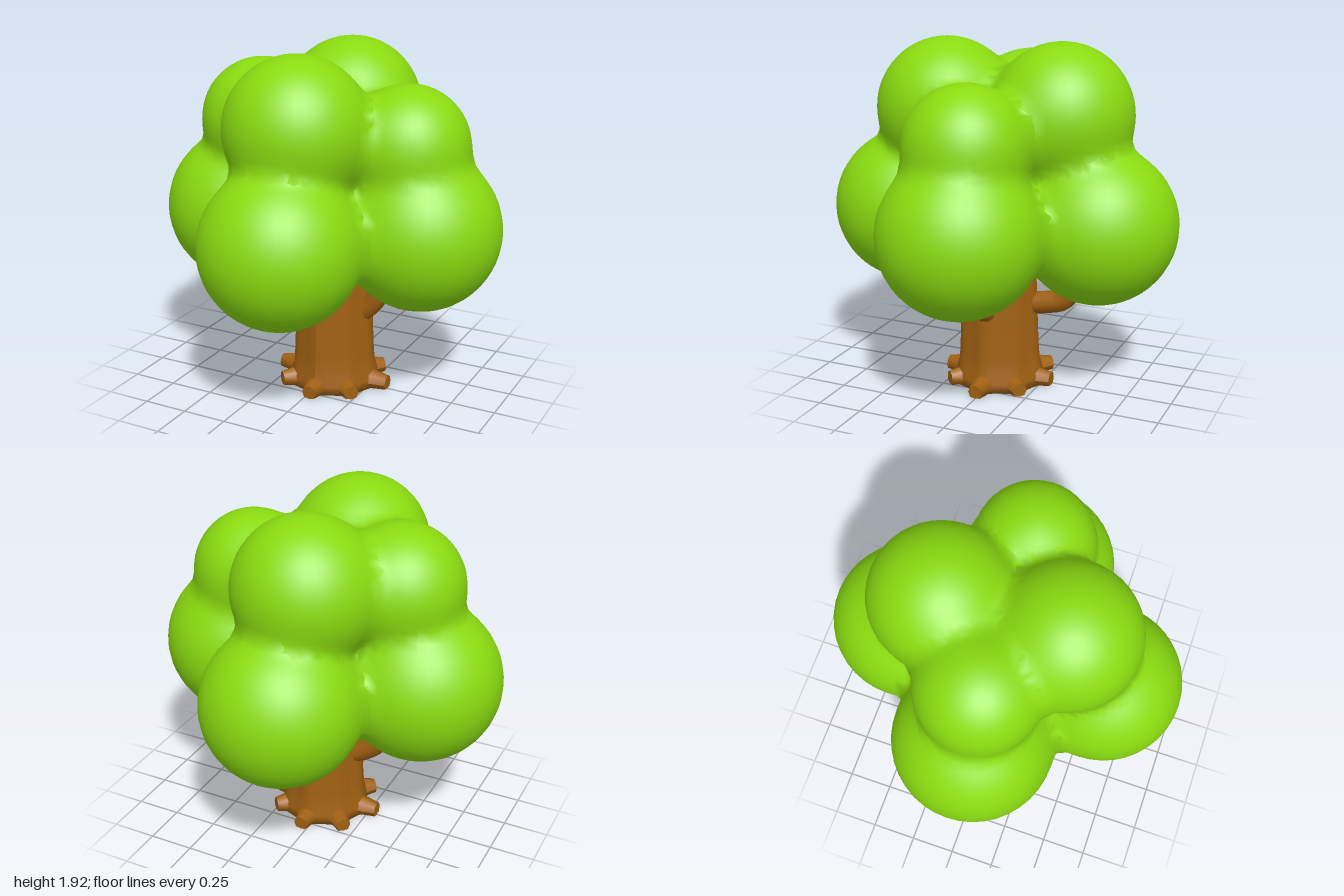
import * as THREE from 'three';

const V = (x, y, z) => new THREE.Vector3(x, y, z);

// foliage lobes: name, centre, radius
const LOBES = [
  ['lowerFrontLobe', V(0, 0.97, 0.56), 0.43],
  ['lowerBackLobe', V(0, 0.97, -0.56), 0.43],
  ['lowerLeftLobe', V(0.54, 0.985, 0), 0.435],
  ['lowerRightLobe', V(-0.54, 0.975, 0), 0.44],
  ['upperFrontLobe', V(-0.02, 1.54, 0.335), 0.388],
  ['upperBackLobe', V(-0.03, 1.54, -0.335), 0.388],
  ['upperLeftLobe', V(0.46, 1.43, 0), 0.33],
  ['upperRightLobe', V(-0.415, 1.495, 0), 0.337],
];
const BLEND = 0.035;

// smooth union of all lobes: distance and direction at a point
function foliageField(p) {
  let sum = 0;
  const normal = V(0, 0, 0);
  for (const [, c, r] of LOBES) {
    const d = p.clone().sub(c);
    const w = Math.exp(-(d.length() - r) / BLEND);
    sum += w;
    normal.addScaledVector(d.normalize(), w);
  }
  return { distance: -BLEND * Math.log(sum), normal: normal.normalize() };
}

// sphere whose surface swells softly where it meets its neighbours
function lobeGeometry(center, radius) {
  const geo = new THREE.SphereGeometry(radius, 40, 28);
  const pos = geo.attributes.position;
  const nor = geo.attributes.normal;
  for (let i = 0; i < pos.count; i++) {
    const dir = V(0, 0, 0).fromBufferAttribute(pos, i).normalize();
    const p = V(0, 0, 0);
    let push = 0;
    for (let s = 0; s < 6; s++) {
      p.copy(center).addScaledVector(dir, radius + push);
      push = THREE.MathUtils.clamp(push - foliageField(p).distance, 0, 0.065);
    }
    p.copy(center).addScaledVector(dir, radius + push);
    const n = foliageField(p).normal;
    pos.setXYZ(i, p.x, p.y, p.z);
    nor.setXYZ(i, n.x, n.y, n.z);
  }
  return geo;
}

// closed lathe trunk with gentle vertical flutes
function trunkGeometry() {
  const profile = [[0, 0.01], [0.25, 0.01], [0.25, 0.06], [0.232, 0.11], [0.225, 0.2],
    [0.217, 0.4], [0.21, 0.6], [0.19, 0.85], [0.12, 1.15], [0, 1.2]];
  const geo = new THREE.LatheGeometry(profile.map(([x, y]) => new THREE.Vector2(x, y)), 40);
  const pos = geo.attributes.position;
  for (let i = 0; i < pos.count; i++) {
    const a = Math.atan2(pos.getZ(i), pos.getX(i));
    const k = 1 + 0.035 * Math.cos(8 * a);
    pos.setX(i, pos.getX(i) * k);
    pos.setZ(i, pos.getZ(i) * k);
  }
  geo.computeVertexNormals();
  return geo;
}

// stubby root lying on the ground, pointing along +x
function rootGeometry(reach) {
  const geo = new THREE.CylinderGeometry(0.042, 0.085, reach - 0.12, 8, 2);
  geo.rotateZ(-Math.PI / 2);
  geo.translate((reach + 0.12) / 2, 0.045, 0);
  const pos = geo.attributes.position;
  for (let i = 0; i < pos.count; i++) pos.setY(i, Math.max(pos.getY(i), 0.01));
  geo.computeVertexNormals();
  return geo;
}

export function createModel() {
  const leaf = new THREE.MeshStandardMaterial({ color: 0x8adb10 });
  leaf.name = 'leafGreen';
  const bark = new THREE.MeshStandardMaterial({ color: 0xa06012 });
  bark.name = 'barkBrown';

  const model = new THREE.Group();
  model.name = 'tree';
  const add = (parent, name, geo, mat) => {
    const mesh = new THREE.Mesh(geo, mat);
    mesh.name = name;
    parent.add(mesh);
    return mesh;
  };

  // crown
  const crown = new THREE.Group();
  crown.name = 'crown';
  model.add(crown);
  for (const [name, c, r] of LOBES) add(crown, name, lobeGeometry(c, r), leaf);

  // trunk with roots
  const base = new THREE.Group();
  base.name = 'trunkAndRoots';
  base.position.x = 0.03;
  model.add(base);
  add(base, 'trunk', trunkGeometry(), bark);
  const reaches = [0.335, 0.3, 0.315, 0.32, 0.335, 0.31, 0.315, 0.3];
  reaches.forEach((reach, i) => {
    const root = add(base, 'root', rootGeometry(reach), bark);
    root.rotation.y = (i / reaches.length) * Math.PI * 2;
  });

  // branches reaching up into the lower lobes
  const branches = [
    ['rightBranch', [V(-0.08, 0.38, 0), V(-0.22, 0.44, 0), V(-0.32, 0.53, 0), V(-0.42, 0.72, 0)]],
    ['leftBranch', [V(0.16, 0.42, 0), V(0.26, 0.51, 0), V(0.31, 0.6, 0), V(0.38, 0.75, 0)]],
    ['frontBranch', [V(0.01, 0.47, 0.1), V(0.01, 0.495, 0.28), V(0.01, 0.53, 0.38), V(0.01, 0.68, 0.46)]],
    ['backBranch', [V(0.01, 0.47, -0.1), V(0.01, 0.495, -0.28), V(0.01, 0.53, -0.38), V(0.01, 0.68, -0.46)]],
  ];
  for (const [name, path] of branches) {
    add(model, name, new THREE.TubeGeometry(new THREE.CatmullRomCurve3(path), 14, 0.062, 10), bark);
  }
  return model;
}
